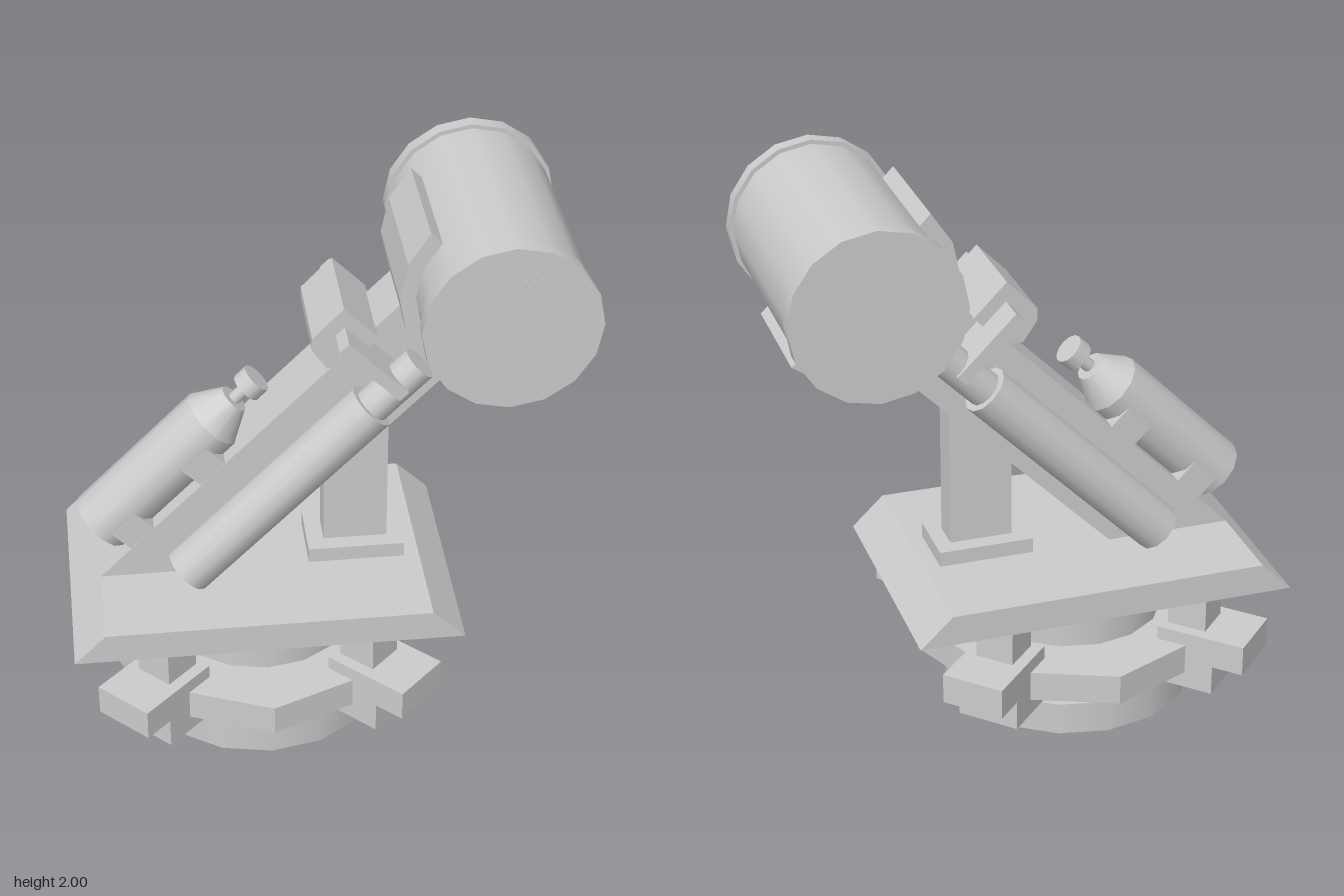
import * as THREE from 'three';

const material = new THREE.MeshStandardMaterial({ color: 0xcccccc });
const flat = new THREE.MeshStandardMaterial({ color: 0xcccccc, flatShading: true });

function add(parent, name, geometry, x = 0, y = 0, z = 0, mat = material) {
  const mesh = new THREE.Mesh(geometry, mat);
  mesh.name = name;
  mesh.position.set(x, y, z);
  parent.add(mesh);
  return mesh;
}

// Box given by its limits
function box(parent, name, x0, x1, y0, y1, z0, z1) {
  return add(parent, name, new THREE.BoxGeometry(x1 - x0, y1 - y0, z1 - z0),
    (x0 + x1) / 2, (y0 + y1) / 2, (z0 + z1) / 2, flat);
}

// Upright cylinder between two heights
function drum(parent, name, r, y0, y1, sides = 16, mat = material) {
  return add(parent, name, new THREE.CylinderGeometry(r, r, y1 - y0, sides), 0, (y0 + y1) / 2, 0, mat);
}

// Cylinder lying along local x, from u0 to u1
function rod(parent, name, r0, r1, u0, u1, v, z = 0, sides = 12) {
  const g = new THREE.CylinderGeometry(r1, r0, u1 - u0, sides).rotateZ(-Math.PI / 2);
  return add(parent, name, g, (u0 + u1) / 2, v, z);
}

// Profile in x and y, extruded evenly to both sides of z = 0
function slab(parent, name, points, halfDepth) {
  const shape = new THREE.Shape(points.map(p => new THREE.Vector2(...p)));
  const g = new THREE.ExtrudeGeometry(shape, { depth: 2 * halfDepth, bevelEnabled: false });
  g.translate(0, 0, -halfDepth);
  return add(parent, name, g, 0, 0, 0, flat);
}

export function createModel() {
  const model = new THREE.Group();
  model.name = 'mountedInstrument';

  // Round base with an eight-sided ring
  const base = new THREE.Group();
  base.name = 'base';
  base.position.x = -0.21;
  model.add(base);
  drum(base, 'foot', 0.455, 0, 0.12);
  drum(base, 'turntable', 0.342, 0.12, 0.46);
  drum(base, 'ring', 0.565, 0.18, 0.29, 8, flat);

  // Four stepped clamps on the diagonals, carrying the platform
  for (let i = 0; i < 4; i++) {
    const clamp = new THREE.Group();
    clamp.name = 'clamp';
    clamp.rotation.y = Math.PI / 4 + i * Math.PI / 2;
    base.add(clamp);
    box(clamp, 'clampUpper', 0.41, 0.735, 0.23, 0.34, -0.113, 0.113);
    box(clamp, 'clampLower', 0.41, 0.622, 0.12, 0.23, -0.113, 0.113);
    box(clamp, 'clampPost', 0.43, 0.573, 0.34, 0.46, -0.07, 0.07);
  }

  // Platform with sloping ends, and the pillar under the arm
  slab(model, 'platform', [[-0.885, 0.46], [0.47, 0.46], [0.355, 0.57], [-0.775, 0.57]], 0.453);
  box(model, 'pillarFoot', -0.04, 0.3, 0.57, 0.625, -0.115, 0.115);
  box(model, 'pillar', 0.02, 0.245, 0.625, 1.14, -0.055, 0.055);
  slab(model, 'pillarTop', [[0.02, 1.14], [0.02, 0.92], [0.245, 1.14]], 0.055);

  // Everything on the arm is laid out along x, then tilted by 45 degrees
  const tilted = new THREE.Group();
  tilted.name = 'tiltedArm';
  tilted.rotation.z = Math.PI / 4;
  model.add(tilted);
  slab(tilted, 'arm', [[0.173, 0.634], [1.35, 0.634], [1.35, 0.952], [-0.145, 0.952]], 0.115);

  // Piston on each side of the arm
  for (const side of [-1, 1]) {
    rod(tilted, 'pistonTube', 0.088, 0.088, 0.12, 1.02, 0.79, side * 0.205);
    rod(tilted, 'pistonRod', 0.064, 0.064, 1.02, 1.246, 0.79, side * 0.205);
  }
  box(tilted, 'pistonBracket', 1.123, 1.167, 0.774, 1.06, -0.28, 0.28);

  // Bottle-shaped cylinder on two mounts
  rod(tilted, 'bottleBody', 0.115, 0.115, -0.023, 0.544, 1.055);
  rod(tilted, 'bottleShoulder', 0.115, 0.055, 0.544, 0.653, 1.055);
  rod(tilted, 'bottleNeck', 0.024, 0.024, 0.653, 0.711, 1.055, 0, 8);
  rod(tilted, 'bottleKnob', 0.056, 0.056, 0.711, 0.765, 1.055);
  box(tilted, 'bottleMount', 0.013, 0.129, 0.94, 1.045, -0.113, 0.113);
  box(tilted, 'bottleMount', 0.368, 0.488, 0.94, 1.045, -0.113, 0.113);

  // Chamfered housing on top of the arm
  slab(model, 'armHousing', [[0.072, 1.643], [-0.034, 1.535], [-0.034, 1.49],
    [0.015, 1.418], [0.09, 1.418], [0.187, 1.528]], 0.17);

  // Large cross drum with end flanges and square end panels
  const head = new THREE.Group();
  head.name = 'head';
  head.position.set(0.583, 1.702, 0);
  model.add(head);
  const lying = (r, length) => new THREE.CylinderGeometry(r, r, length, 16).rotateX(Math.PI / 2);
  add(head, 'headDrum', lying(0.282, 0.82));
  for (const side of [-1, 1]) {
    add(head, 'headFlange', lying(0.297, 0.052), 0, 0, side * 0.427);
    box(head, 'endPanel', -0.18, 0.18, -0.18, 0.18, side * 0.44 - 0.014, side * 0.44 + 0.014);
  }

  // Half-round cradle holding the drum
  const arc = r => Array.from({ length: 9 }, (_, i) => {
    const a = Math.PI * (0.75 + i / 8);
    return [r * Math.cos(a), r * Math.sin(a)];
  });
  slab(head, 'cradle', [...arc(0.336), ...arc(0.278).reverse()], 0.225);

  return model;
}
